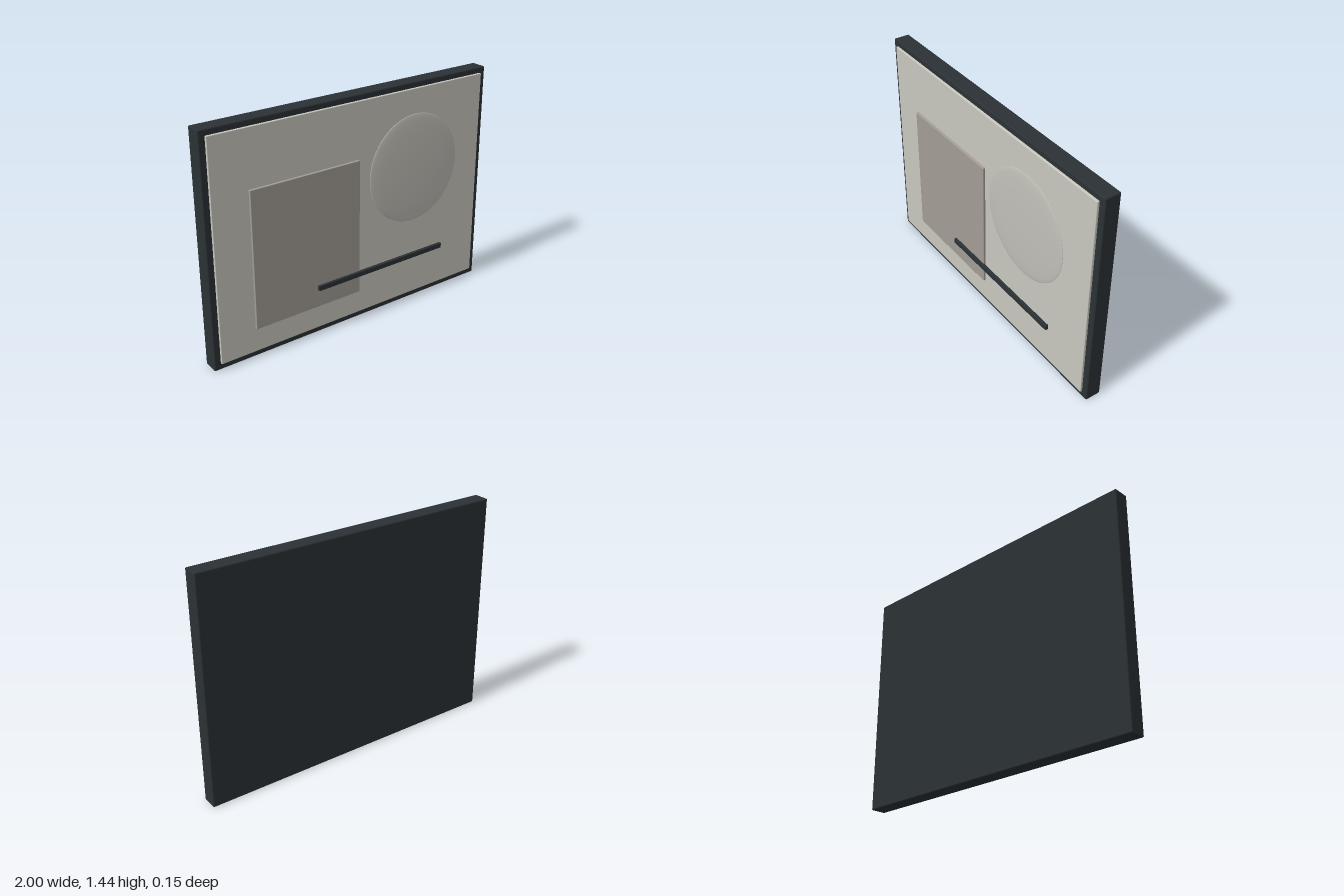
import * as THREE from 'three';
import { RoundedBoxGeometry } from 'three/addons/geometries/RoundedBoxGeometry.js';

const material = (color) => new THREE.MeshStandardMaterial({ color });

export function createModel() {
  const group = new THREE.Group();
  group.name = 'framedArtwork';
  const dark = material(0x2b3134);

  // Adds a softly edged panel given its extents on each axis.
  const panel = (name, mat, [x0, x1], [y0, y1], [z0, z1], radius) => {
    const geometry = new RoundedBoxGeometry(x1 - x0, y1 - y0, z1 - z0, 3, radius);
    const mesh = new THREE.Mesh(geometry, mat);
    mesh.position.set((x0 + x1) / 2, (y0 + y1) / 2, (z0 + z1) / 2);
    mesh.name = name;
    group.add(mesh);
  };

  // Solid backing whose border shows as the frame
  panel('frame', dark, [-1, 1], [0, 1.444], [-0.072, 0.029], 0.008);
  // Pale picture surface
  panel('canvas', material(0xc9c8bf), [-0.96, 0.96], [0.04, 1.408], [0.014, 0.043], 0.004);
  // Raised rectangle
  panel('rectangle', material(0xa39d95), [-0.73, 0.008], [0.192, 1.056], [0.035, 0.057], 0.004);
  // Thin dark bar crossing the rectangle
  panel('bar', dark, [-0.302, 0.657], [0.304, 0.336], [0.053, 0.073], 0.002);

  // Flattened round disc
  const disc = new THREE.Mesh(new THREE.SphereGeometry(1, 64, 40), material(0xc1c0b8));
  disc.scale.set(0.339, 0.346, 0.0125);
  disc.position.set(0.416, 0.913, 0.0605);
  disc.name = 'disc';
  group.add(disc);

  return group;
}
